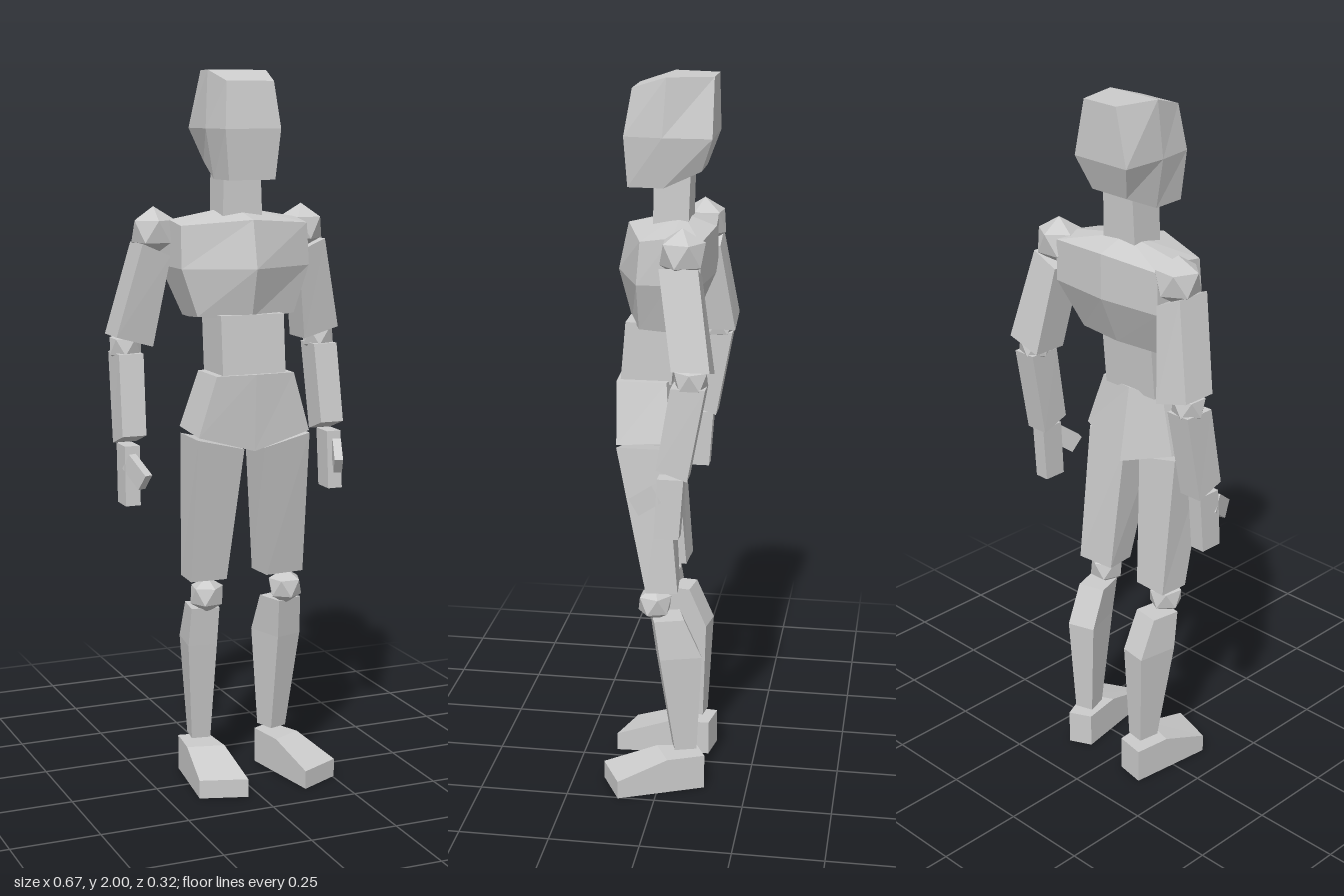
import * as THREE from 'three';

const skin = new THREE.MeshStandardMaterial({ color: 0xcccccc, flatShading: true });
skin.name = 'plain grey';

// Closed solid through rings of equal length. Rings run counterclockwise seen from the first ring's end.
function loft(name, rings, capA, capB) {
  const pos = [];
  const tri = (a, b, c) => pos.push(...a, ...b, ...c);
  const mid = (r) => [0, 1, 2].map((k) => r.reduce((s, p) => s + p[k], 0) / r.length);
  const n = rings[0].length, first = rings[0], last = rings[rings.length - 1];
  const a = capA || mid(first), b = capB || mid(last);
  for (let i = 0; i < n; i++) {
    const j = (i + 1) % n;
    tri(a, first[i], first[j]);
    tri(b, last[j], last[i]);
    for (let k = 0; k < rings.length - 1; k++) {
      const t = rings[k], u = rings[k + 1];
      tri(u[i], u[j], t[j]);
      tri(u[i], t[j], t[i]);
    }
  }
  const g = new THREE.BufferGeometry();
  g.setAttribute('position', new THREE.Float32BufferAttribute(pos, 3));
  g.computeVertexNormals();
  return named(name, g);
}

function named(name, geometry) {
  const m = new THREE.Mesh(geometry, skin);
  m.name = name;
  return m;
}

// Full ring from its +x half, listed front to back
const sym = (half) => [
  ...half,
  ...half.filter((p) => p[0] !== 0).reverse().map(([x, y, z]) => [-x, y, z]),
];

// Four-sided ring; ya and yb are the heights at x0 and x1
const quad = (x0, x1, zBack, zFront, ya, yb = ya) => [
  [x1, yb, zFront], [x1, yb, zBack], [x0, ya, zBack], [x0, ya, zFront],
];

// Turn a ring about its own centre
function turn(ring, yaw) {
  const cx = ring.reduce((s, p) => s + p[0], 0) / ring.length;
  const cz = ring.reduce((s, p) => s + p[2], 0) / ring.length;
  const c = Math.cos(yaw), s = Math.sin(yaw);
  return ring.map(([x, y, z]) => [
    cx + (x - cx) * c + (z - cz) * s, y, cz - (x - cx) * s + (z - cz) * c,
  ]);
}

const mirrorRings = (rings, side) => side > 0 ? rings
  : rings.map((r) => r.map(([x, y, z]) => [-x, y, z]).reverse());

// Twenty-sided ball with a corner pointing up
function joint(name, r, x, y, z, yaw = 0) {
  const g = new THREE.IcosahedronGeometry(r, 0);
  g.rotateZ(-Math.atan(2 / (1 + Math.sqrt(5))));
  g.rotateY(yaw);
  g.translate(x, y, z);
  return named(name, g);
}

function addTorso(body) {
  body.add(loft('head', [
    sym([[0.068, 1.97, 0.083], [0.085, 2, -0.01], [0.057, 2, -0.132]]),
    sym([[0.08, 1.845, 0.105], [0.095, 1.845, 0], [0.093, 1.845, -0.132]]),
    sym([[0.067, 1.71, 0.097], [0.072, 1.71, 0], [0.062, 1.755, -0.1]]),
  ], [0, 2, -0.01], [0, 1.71, 0]));

  body.add(loft('neck', [
    quad(-0.053, 0.053, -0.07, 0.028, 1.76),
    quad(-0.058, 0.058, -0.065, 0.03, 1.6),
  ]));

  body.add(loft('chest', [
    sym([[0, 1.605, 0.105], [0.185, 1.59, 0.045], [0.187, 1.602, -0.04], [0.187, 1.59, -0.115], [0, 1.6, -0.133]]),
    sym([[0, 1.475, 0.133], [0.187, 1.475, 0.055], [0.187, 1.475, -0.03], [0.187, 1.475, -0.115], [0, 1.475, -0.133]]),
    sym([[0, 1.34, 0.097], [0.142, 1.345, 0.055], [0.142, 1.34, -0.01], [0.142, 1.34, -0.06], [0, 1.34, -0.075]]),
  ], [0, 1.635, -0.04]));

  body.add(loft('abdomen', [
    quad(-0.092, 0.092, -0.04, 0.1, 1.35),
    quad(-0.092, 0.092, -0.025, 0.115, 1.18),
  ]));

  body.add(loft('pelvis', [
    sym([[0, 1.19, 0.127], [0.113, 1.19, 0.122], [0.113, 1.19, -0.015], [0, 1.19, -0.03]]),
    sym([[0, 0.978, 0.117], [0.163, 1.025, 0.115], [0.163, 1.035, -0.03], [0, 0.978, -0.065]]),
  ]));
}

function addArm(body, side) {
  const label = side > 0 ? 'left' : 'right';
  const part = (name, rings) => loft(label + name, mirrorRings(rings, side));

  body.add(joint(label + 'Shoulder', 0.067, side * 0.22, 1.57, -0.073, side * 0.4));
  body.add(part('UpperArm', [
    quad(0.19, 0.27, -0.12, -0.018, 1.505, 1.54),
    quad(0.228, 0.333, -0.16, -0.06, 1.255, 1.285),
  ]));
  body.add(joint(label + 'Elbow', 0.05, side * 0.292, 1.255, -0.107));
  body.add(part('Forearm', [
    quad(0.257, 0.328, -0.148, -0.057, 1.238),
    quad(0.264, 0.333, -0.102, -0.02, 1.003).map(([x, y, z]) => [x, y - (z + 0.06) * -0.35, z]),
  ]));
  body.add(part('Hand', [
    quad(0.283, 0.326, -0.092, -0.022, 0.99),
    quad(0.285, 0.328, -0.08, -0.013, 0.825),
  ]));

  // Thumb reaching forwards and down
  const thumb = named(label + 'Thumb', new THREE.BoxGeometry(0.024, 0.052, 0.085));
  thumb.position.set(side * 0.302, 0.924, 0.008);
  thumb.rotation.set(0.62, -side * 0.35, 0, 'YXZ');
  body.add(thumb);
}

// s holds the centre of the knee and ankle, the turn and the foot corners
function addLeg(body, side, s) {
  const label = side > 0 ? 'left' : 'right';
  const part = (name, rings) => loft(label + name, mirrorRings(rings, side));

  body.add(part('Thigh', [
    quad(0.03, 0.165, -0.02, 0.115, 0.985, 1.018),
    turn(quad(s.thigh[0], s.thigh[1], -0.05, 0.038, 0.605), s.yaw * 0.3),
  ]));
  body.add(joint(label + 'Knee', 0.052, side * s.knee, 0.56, 0.014, side * s.yaw));
  body.add(part('Shin', [
    [s.knee, 0.04, -0.062, 0.022, 0.522],
    [s.knee, 0.041, -0.112, 0.006, 0.41],
    [s.ankle, 0.027, -0.1, -0.038, 0.122],
  ].map(([x, w, zb, zf, y]) => turn(quad(x - w, x + w, zb, zf, y), s.yaw))));

  // Foot: toe, instep and heel sections
  const [to, ti, hi, ho] = s.foot;
  const section = (t, h) => {
    const [xo, zo] = [0, 1].map((k) => to[k] + (ho[k] - to[k]) * t);
    const [xi, zi] = [0, 1].map((k) => ti[k] + (hi[k] - ti[k]) * t);
    return [[xo, h, zo], [xi, h, zi], [xi, 0.003, zi], [xo, 0.003, zo]];
  };
  body.add(part('Foot', [section(0, 0.055), section(0.57, 0.104), section(1, 0.104)]));
}

export function createModel() {
  const body = new THREE.Group();
  body.name = 'jointedFigure';
  addTorso(body);
  for (const side of [-1, 1]) addArm(body, side);

  addLeg(body, 1, {
    thigh: [0.064, 0.18], knee: 0.138, ankle: 0.133, yaw: 0.3,
    foot: [[0.255, 0.103], [0.138, 0.163], [0.093, -0.1], [0.155, -0.13]],
  });
  addLeg(body, -1, {
    thigh: [0.05, 0.155], knee: 0.102, ankle: 0.095, yaw: 0.15,
    foot: [[0.165, 0.115], [0.035, 0.156], [0.05, -0.115], [0.135, -0.13]],
  });
  return body;
}
